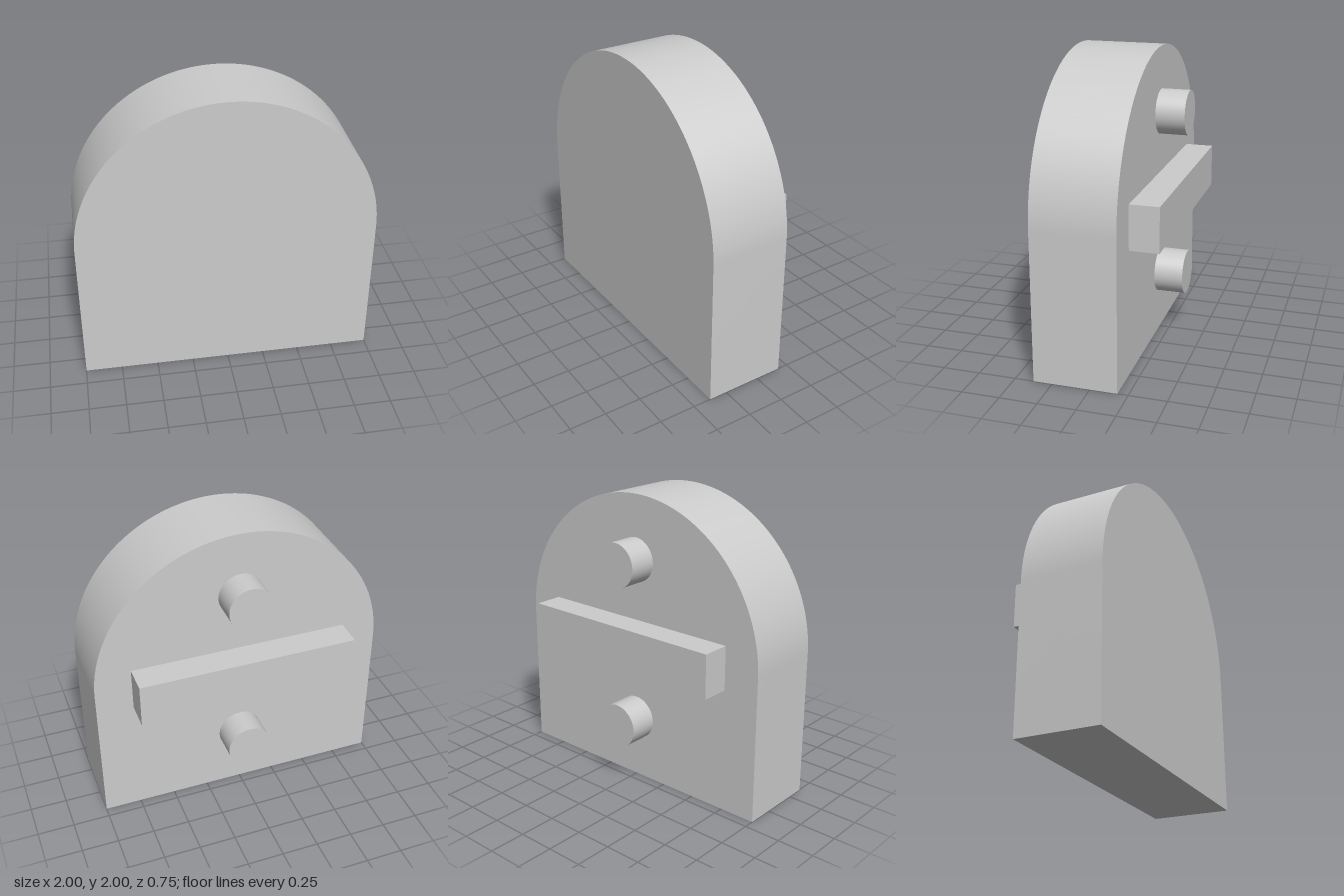
import * as THREE from 'three';
import { toCreasedNormals } from 'three/addons/utils/BufferGeometryUtils.js';

const FRONT = 0.375, BODY_BACK = -0.18, BACK = -0.375;

export function createModel() {
  const model = new THREE.Group();
  model.name = 'archedPlate';
  const material = new THREE.MeshStandardMaterial({ color: 0xcccccc });

  const add = (name, geometry, x, y, z) => {
    const mesh = new THREE.Mesh(geometry, material);
    mesh.name = name;
    mesh.position.set(x, y, z);
    model.add(mesh);
    return mesh;
  };

  // Thick plate: square lower half, semicircular top
  const outline = new THREE.Shape();
  outline.moveTo(-1, 0);
  outline.lineTo(1, 0);
  outline.lineTo(1, 1);
  outline.absarc(0, 1, 1, 0, Math.PI, false);
  outline.closePath();
  const plate = new THREE.ExtrudeGeometry(outline, {
    depth: FRONT - BODY_BACK, bevelEnabled: false, curveSegments: 64,
  });
  add('plate', toCreasedNormals(plate, Math.PI / 6), 0, 0, BODY_BACK);

  // Raised details on the back face
  const depth = BODY_BACK - BACK;
  const midZ = (BODY_BACK + BACK) / 2;
  add('backBar', new THREE.BoxGeometry(1.5, 0.3, depth), 0, 1, midZ);

  for (const [name, y] of [['upperPeg', 1.565], ['lowerPeg', 0.44]]) {
    const peg = new THREE.CylinderGeometry(0.15, 0.15, depth, 48);
    add(name, peg, 0, y, midZ).rotation.x = Math.PI / 2;
  }

  return model;
}
